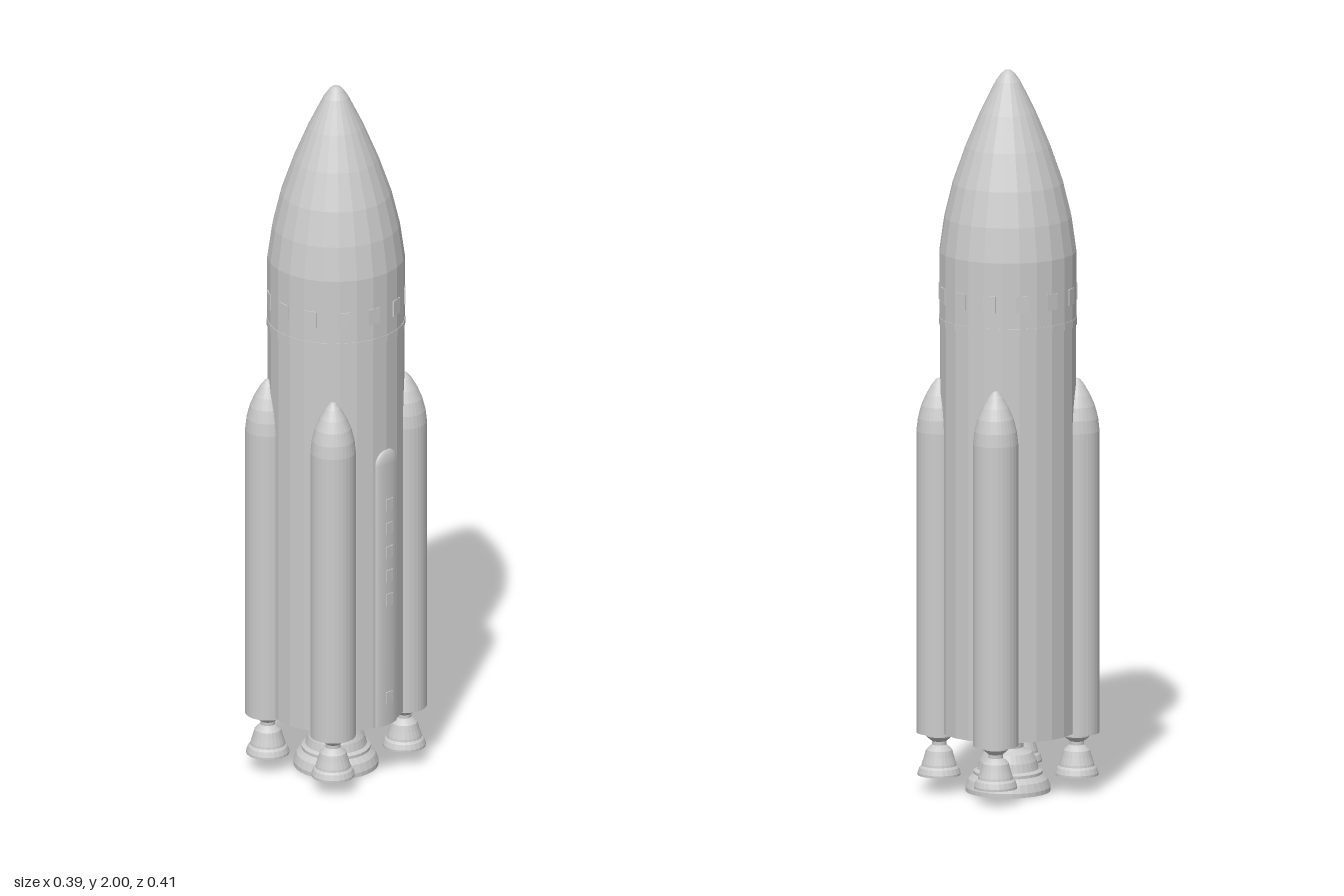
import * as THREE from 'three';

const AXIS_X = -0.0055, CORE_R = 0.1875;
const flat = new THREE.MeshStandardMaterial({ color: 0xcccccc, flatShading: true });
const smooth = new THREE.MeshStandardMaterial({ color: 0xcccccc });

// Revolve [radius, height] pairs, listed from the bottom up
function lathe(name, profile, segments) {
  const points = profile.map(([r, y]) => new THREE.Vector2(r, y));
  const mesh = new THREE.Mesh(new THREE.LatheGeometry(points, segments), flat);
  mesh.name = name;
  return mesh;
}

function box(name, w, h, d, x, y, z) {
  const mesh = new THREE.Mesh(new THREE.BoxGeometry(w, h, d), flat);
  mesh.name = name;
  mesh.position.set(x, y, z);
  return mesh;
}

function createCore() {
  const core = new THREE.Group();
  core.name = 'core';
  core.add(lathe('coreTank', [[0, 0.168], [0.186, 0.168], [0.186, 1.3]], 24));
  core.add(lathe('jointRing', [[0.18, 1.298], [0.189, 1.298], [0.189, 1.318], [0.187, 1.318]], 24));
  core.add(lathe('noseFairing', [
    [CORE_R, 1.31], [CORE_R, 1.5], [0.174, 1.595], [0.151, 1.69], [0.116, 1.79],
    [0.076, 1.885], [0.034, 1.97], [0.02, 1.99], [0.009, 2], [0, 2],
  ], 24));

  // Ring of windows around the fairing
  for (let i = 0; i < 13; i++) {
    const holder = new THREE.Group();
    holder.name = 'windowMount';
    holder.rotation.y = Math.PI + (i / 13) * Math.PI * 2;
    holder.add(box('window', 0.012, 0.045, 0.036, 0.183, 1.385, 0));
    core.add(holder);
  }

  // Main engine: mount, neck, stepped bell and hollow inside
  core.add(lathe('mainEngine', [
    [0, 0.085], [0.05, 0.085], [0.085, 0.045], [0.112, 0.003], [0.116, 0],
    [0.116, 0.012], [0.108, 0.034], [0.094, 0.048], [0.094, 0.056], [0.084, 0.062],
    [0.078, 0.085], [0.066, 0.108], [0.05, 0.116], [0.042, 0.122], [0.042, 0.142],
    [0.058, 0.15], [0.068, 0.158], [0.068, 0.172],
  ], 32));
  core.position.x = AXIS_X;
  return core;
}

function createBooster(x, z) {
  const booster = new THREE.Group();
  booster.name = 'booster';
  booster.add(lathe('boosterBody', [
    [0, 0.162], [0.062, 0.162], [0.062, 1.0], [0.058, 1.035], [0.049, 1.07],
    [0.036, 1.1], [0.02, 1.128], [0.008, 1.143], [0, 1.146],
  ], 32));
  booster.add(lathe('boosterEngine', [
    [0, 0.09], [0.026, 0.09], [0.044, 0.065], [0.057, 0.046], [0.059, 0.044],
    [0.059, 0.05], [0.054, 0.064], [0.048, 0.07], [0.047, 0.076], [0.041, 0.095],
    [0.036, 0.113], [0.026, 0.123], [0.02, 0.128], [0.02, 0.138],
    [0.03, 0.146], [0.036, 0.152], [0.036, 0.164],
  ], 24));
  booster.position.set(x, 0, z);
  return booster;
}

// Flattened cable duct with a domed top and a column of vents
function createDuct() {
  const duct = new THREE.Group();
  duct.name = 'sideDuct';
  const radius = 0.042, top = 0.938, bottom = 0.17;
  const profile = [new THREE.Vector2(0, bottom), new THREE.Vector2(radius, bottom)];
  for (let i = 0; i <= 8; i++) {
    const a = (i / 8) * Math.PI / 2;
    profile.push(new THREE.Vector2(radius * Math.cos(a), top + radius * Math.sin(a)));
  }
  const shell = new THREE.Mesh(new THREE.LatheGeometry(profile, 32), smooth);
  shell.name = 'ductShell';
  shell.scale.x = 0.31;
  shell.position.x = 0.1775;
  duct.add(shell);
  for (const y of [0.82, 0.75, 0.68, 0.61, 0.54, 0.25]) {
    duct.add(box('ductVent', 0.012, 0.034, 0.026, 0.187, y, 0));
  }
  return duct;
}

export function createModel() {
  const model = new THREE.Group();
  model.name = 'rocket';
  model.add(createCore(), createDuct());
  for (const sx of [-1, 1]) {
    for (const sz of [-1, 1]) model.add(createBooster(AXIS_X + sx * 0.12, sz * 0.144));
  }
  return model;
}
